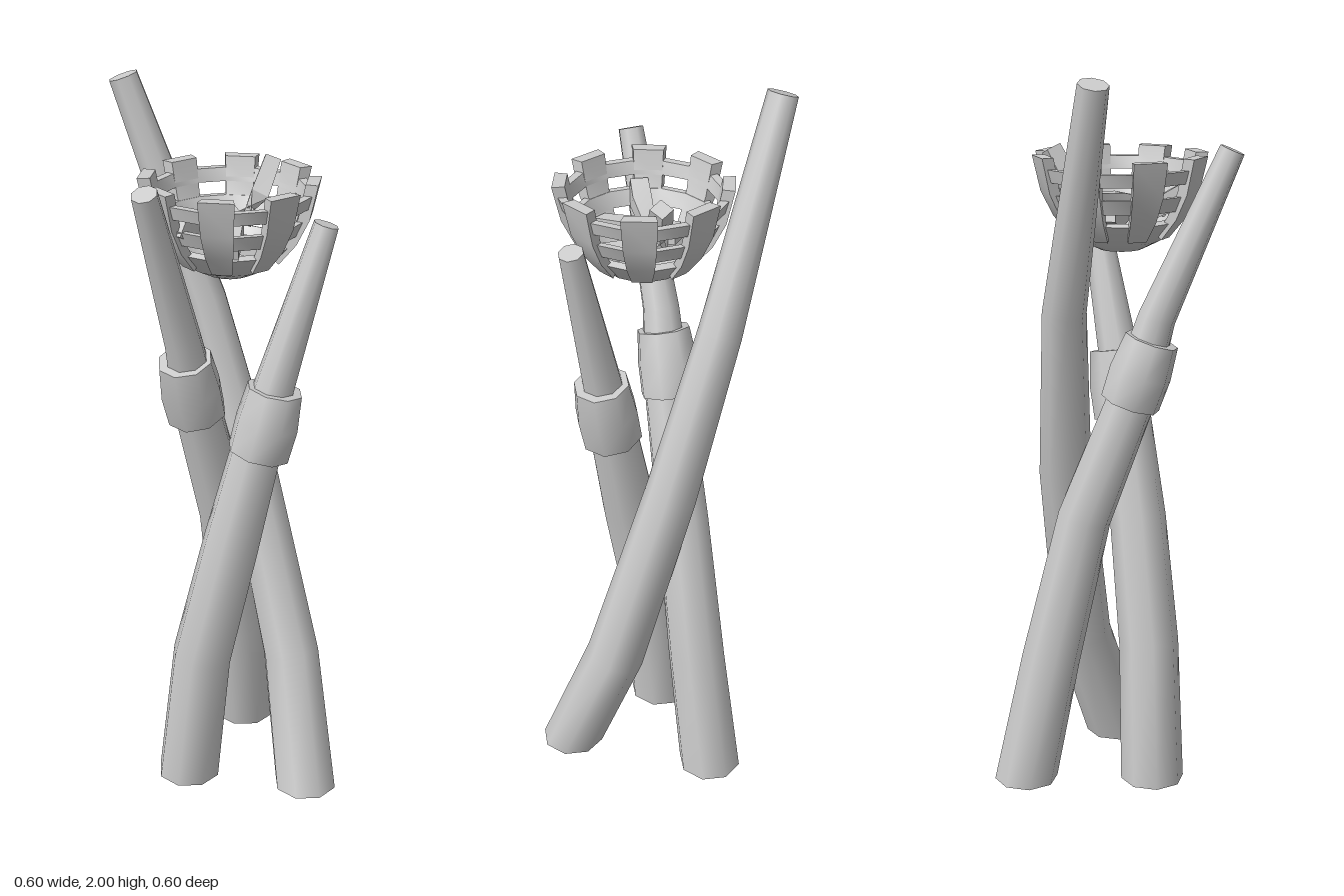
import * as THREE from 'three';
import { toCreasedNormals } from 'three/addons/utils/BufferGeometryUtils.js';

const material = new THREE.MeshStandardMaterial({ color: 0xcccccc, side: THREE.DoubleSide });
const V = (p) => new THREE.Vector3(...p);

function add(parent, name, geometry, crease = 0.85) {
  const mesh = new THREE.Mesh(toCreasedNormals(geometry, crease), material);
  mesh.name = name;
  parent.add(mesh);
  return mesh;
}

// Capped bar swept through points [x, y, z, radius]; levelBase cuts the first end flat on the ground
function sweep(points, sides, levelBase = false) {
  const centres = points.map((p) => V(p.slice(0, 3)));
  const pos = [];
  const index = [];
  const last = points.length - 1;
  centres.forEach((c, i) => {
    const n = centres[Math.min(i + 1, last)].clone().sub(centres[Math.max(i - 1, 0)]).normalize();
    if (levelBase && i === 0) n.set(0, 1, 0);
    const ref = Math.abs(n.y) > 0.75 ? V([1, 0, 0]) : V([0, 1, 0]);
    const u = ref.addScaledVector(n, -ref.dot(n)).normalize();
    const v = n.clone().cross(u);
    for (let j = 0; j < sides; j++) {
      const a = ((j + 0.5) / sides) * Math.PI * 2;
      const q = c.clone()
        .addScaledVector(u, Math.cos(a) * points[i][3])
        .addScaledVector(v, Math.sin(a) * points[i][3]);
      pos.push(q.x, q.y, q.z);
    }
  });
  for (let i = 0; i < last; i++) {
    for (let j = 0; j < sides; j++) {
      const a = i * sides + j;
      const b = i * sides + ((j + 1) % sides);
      index.push(a, b, b + sides, a, b + sides, a + sides);
    }
  }
  for (let j = 1; j < sides - 1; j++) {
    const t = last * sides;
    index.push(0, j + 1, j, t, t + j, t + j + 1);
  }
  const g = new THREE.BufferGeometry();
  g.setAttribute('position', new THREE.Float32BufferAttribute(pos, 3));
  g.setIndex(index);
  return g;
}

// Lathe of a profile listed as outer side upward, then inner side downward
function ring(profile, start = 0, segments = 16, closed = true) {
  const pts = profile.map(([r, y]) => new THREE.Vector2(r, y));
  if (closed) pts.push(pts[0].clone());
  return new THREE.LatheGeometry(pts, segments, start, (segments * Math.PI) / 8);
}

export function createModel() {
  const model = new THREE.Group();
  model.name = 'tripodBrazier';

  // Three leaning, crossing poles
  const poles = {
    tallPole: [[0.215, 0, 0.18, 0.09], [0.18, 0.36, 0.04, 0.083], [0.07, 0.9, -0.075, 0.073],
      [-0.055, 1.38, -0.145, 0.06], [-0.268, 1.99, -0.178, 0.041]],
    rightPole: [[0.06, 0, -0.215, 0.09], [0.035, 0.36, -0.145, 0.083], [-0.01, 0.78, -0.06, 0.075],
      [-0.09, 1.15, 0.055, 0.066], [-0.125, 1.35, 0.1, 0.052], [-0.22, 1.8, 0.27, 0.035]],
    leftPole: [[-0.12, 0, 0.1, 0.09], [-0.08, 0.4, 0.11, 0.085], [0, 0.75, 0.12, 0.08],
      [0.065, 1.02, 0.12, 0.071], [0.115, 1.22, 0.12, 0.056], [0.247, 1.665, 0.106, 0.034]],
  };
  for (const [name, points] of Object.entries(poles)) add(model, name, sweep(points, 8, true));

  // Collars wrapped around two of the poles
  add(model, 'rightCollar', sweep([[-0.088, 1.115, 0.04, 0.083], [-0.105, 1.2, 0.062, 0.086],
    [-0.12, 1.29, 0.088, 0.075]], 8));
  add(model, 'leftCollar', sweep([[0.075, 1.03, 0.12, 0.086], [0.098, 1.12, 0.12, 0.088],
    [0.118, 1.215, 0.12, 0.077]], 8));

  // Fire basket: solid bowl, two hoops and eight upright slats
  const basket = new THREE.Group();
  basket.name = 'basket';
  basket.position.z = 0.06;
  model.add(basket);
  add(basket, 'bowl', ring([[0, 1.515], [0.06, 1.525], [0.11, 1.55], [0.158, 1.605],
    [0.137, 1.612], [0.1, 1.572], [0.05, 1.552], [0, 1.547]], 0, 16, false));
  add(basket, 'lowerHoop', ring([[0.18, 1.64], [0.198, 1.68], [0.18, 1.68], [0.162, 1.64]]));
  add(basket, 'upperHoop', ring([[0.212, 1.715], [0.222, 1.75], [0.2, 1.75], [0.19, 1.715]]));

  const slat = [[0.135, 1.56], [0.182, 1.617], [0.216, 1.685], [0.238, 1.78],
    [0.204, 1.78], [0.186, 1.69], [0.158, 1.63], [0.12, 1.572]];
  const slatSide = new THREE.Shape(slat.map(([r, y]) => new THREE.Vector2(r, y)));
  for (let k = 0; k < 8; k++) {
    const start = Math.PI / 8 + (k * Math.PI) / 4;
    add(basket, 'slat', ring(slat, start, 1));
    for (const phi of [start, start + Math.PI / 8]) {
      add(basket, 'slatSide', new THREE.ShapeGeometry(slatSide)).rotation.y = phi - Math.PI / 2;
    }
  }

  // Bent sticks lying in the basket
  const sticks = [
    [[-0.11, 1.64, -0.045, 0.03], [0, 1.6, 0.035, 0.032], [0.1, 1.6, 0.125, 0.026]],
    [[-0.01, 1.66, -0.04, 0.032], [0.012, 1.65, 0.06, 0.036], [-0.005, 1.62, 0.21, 0.028]],
    [[0.035, 1.64, -0.015, 0.03], [0.085, 1.7, -0.05, 0.034], [0.122, 1.79, -0.085, 0.03]],
    [[-0.14, 1.69, 0.185, 0.034], [-0.105, 1.66, 0.15, 0.036], [-0.07, 1.62, 0.1, 0.024]],
  ];
  for (const points of sticks) add(model, 'stick', sweep(points, 4), 0.3);

  return model;
}
